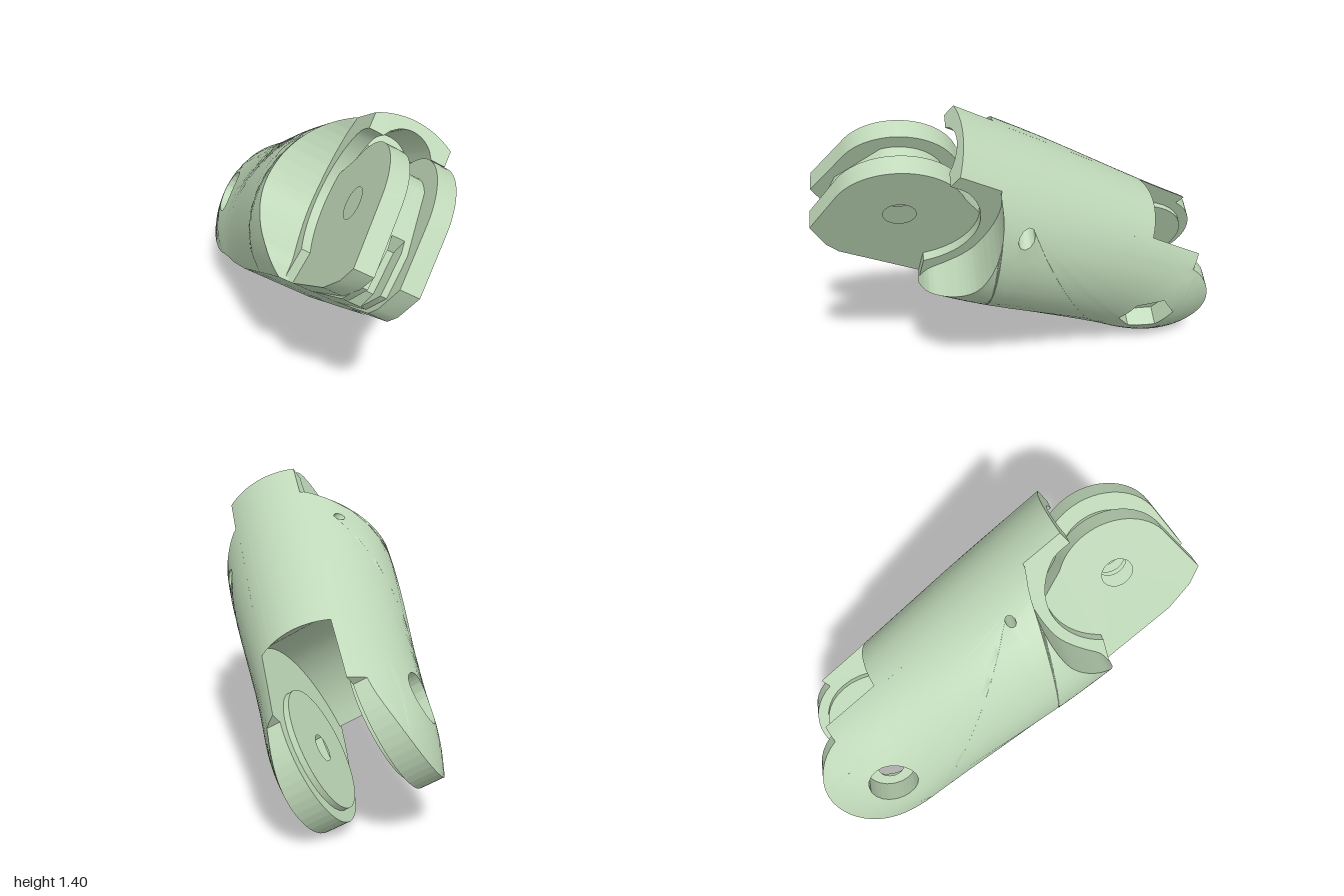
import * as THREE from 'three';
import { toCreasedNormals } from 'three/addons/utils/BufferGeometryUtils.js';

const rad = Math.PI / 180;
const HINGE = 1.39;      // distance between the two hinge axes
const HALF_HEIGHT = 0.425;
const EDGE = 0.365;      // height where the side shells meet the core
const INNER = 0.165;     // inner face of the side shells

// Shapes are drawn as (u = across, d = along the body) and extruded along n, the hinge axis.
const arc = (cu, cd, r, from, to, count = 18) =>
  Array.from({ length: count + 1 }, (_, i) => {
    const t = (from + (to - from) * i / count) * rad;
    return [cu + r * Math.sin(t), cd + r * Math.cos(t)];
  });

const toVecs = (pts) => pts.map(([x, y]) => new THREE.Vector2(x, y));
const spline = (pts, count) =>
  new THREE.SplineCurve(toVecs(pts)).getPoints(count).map((p) => [p.x, p.y]);

function makeShape(pts, holes = []) {
  const shape = new THREE.Shape(toVecs(pts));
  holes.forEach((h) => shape.holes.push(new THREE.Path(toVecs(h))));
  return shape;
}

const ring = (u, d, r, count, turn = 0) => arc(u, d, r, turn, turn + 360, count).slice(0, count);

// Half width of the body along its length: wide at the front, tapering at the rear lugs
function halfWidth(d) {
  const t = THREE.MathUtils.smoothstep(d, 0, 1.0);
  return 0.34 + 0.065 * t - (d < 0 ? 0.06 * (d / 0.32) ** 2 : 0);
}
const sideSurface = (u, d) => halfWidth(d) * Math.sqrt(Math.max(0, 1 - (u / HALF_HEIGHT) ** 2));
const crown = (n, d) => HALF_HEIGHT * Math.sqrt(Math.max(0, 1 - (n / halfWidth(d)) ** 2));

// Split every triangle into four
function subdivide(geometry, levels) {
  let p = Array.from((geometry.index ? geometry.toNonIndexed() : geometry).attributes.position.array);
  for (let l = 0; l < levels; l++) {
    const out = [];
    for (let i = 0; i < p.length; i += 9) {
      const a = p.slice(i, i + 3), b = p.slice(i + 3, i + 6), c = p.slice(i + 6, i + 9);
      const mid = (s, t) => s.map((v, k) => (v + t[k]) / 2);
      const ab = mid(a, b), bc = mid(b, c), ca = mid(c, a);
      out.push(...a, ...ab, ...ca, ...ab, ...b, ...bc, ...ca, ...bc, ...c, ...ab, ...bc, ...ca);
    }
    p = out;
  }
  const g = new THREE.BufferGeometry();
  g.setAttribute('position', new THREE.Float32BufferAttribute(p, 3));
  return g;
}

function bend(geometry, rule) {
  const pos = geometry.attributes.position;
  for (let i = 0; i < pos.count; i++) pos.setXYZ(i, ...rule(pos.getX(i), pos.getY(i), pos.getZ(i)));
  return toCreasedNormals(geometry, 40 * rad);
}

const extrude = (shape, depth, steps = 1) =>
  new THREE.ExtrudeGeometry(shape, { depth, steps, bevelEnabled: false });

export function createModel() {
  const model = new THREE.Group();
  const body = new THREE.Group();
  body.name = 'fingerSegment';
  model.add(body);
  const paleGreen = new THREE.MeshStandardMaterial({ color: 0xbfd8b8 });
  paleGreen.name = 'paleGreen';

  const add = (name, geometry) => {
    const mesh = new THREE.Mesh(geometry, paleGreen);
    mesh.name = name;
    body.add(mesh);
  };
  const plate = (name, shape, n0, n1) => {
    const g = extrude(shape, n1 - n0);
    g.translate(0, 0, n0);
    add(name, toCreasedNormals(g, 32 * rad));
  };

  // Side shells: rear lug, curved flank, and front scoop around the front hinge
  const scoop = [[0.37, 1.14], [0.29, 1.08], [0.16, 1.03], [0, 1.005], [-0.1, 1.015], [-0.2, 1.05], [-0.28, 1.085], [-EDGE, 1.085]];
  const sideOutline = [
    ...spline(scoop, 21),
    [-EDGE, 0.75], [-EDGE, 0.4], [-0.35, 0.2],
    ...arc(0, 0, 0.32, 274, 98, 24),
    [0.37, -0.045], [0.37, 0.25], [0.37, 0.55], [0.37, 0.85],
  ];
  for (const s of [1, -1]) {
    // Hex nut pocket on one side, round bolt-head pocket on the other
    const pocket = s > 0 ? ring(0, 0, 0.14, 6, -33) : ring(0, 0, 0.115, 20);
    const pinHole = ring(0.278, 0.955, s > 0 ? 0.038 : 0.022, 10);
    const g = subdivide(extrude(makeShape(sideOutline, [pocket, pinHole]), 1), 3);
    add(s > 0 ? 'leftSideShell' : 'rightSideShell', bend(g, (u, d, z) => {
      const outer = Math.max(INNER + 0.004, sideSurface(u, d));
      const t = s > 0 ? z : 1 - z;
      const n = INNER + (outer - INNER) * t;
      return [u >= EDGE ? Math.min(crown(n, d), 0.4) : u, d, s * n];
    }));

    // Raised washer inside the rear fork, which also floors the pocket
    const washer = makeShape(ring(0, 0, 0.27, 36), [ring(0, 0, 0.06, 18)]);
    plate('rearWasher', washer, s > 0 ? 0.14 : -0.23, s > 0 ? 0.23 : -0.14);
  }

  // Core between the shells, with the overhanging front lip
  const coreProfile = (lipBack, front) => [
    [-EDGE, 1.08], [-EDGE, 0.4],
    ...arc(0, 0, 0.48, -45, 48, 16),
    [0.4, 0.27], [0.4, 0.5], [0.4, 0.8], [0.4, 1.1], [0.4, 1.34], [0.31, 1.34], [0.31, lipBack],
    ...front,
  ];
  const coreSlice = (name, n0, n1, profile, arched) => {
    const g = extrude(makeShape(profile), n1 - n0, 12);
    g.translate(0, 0, n0);
    add(name, bend(g, (u, d, n) => {
      if (u >= EDGE) return [crown(n, d), d, n];
      // Round tunnel under the lip
      if (arched && u > 0.305 && d > 1) return [0.25 + Math.sqrt(0.13 ** 2 - n ** 2), d, n];
      return [u, d, n];
    }));
  };
  const ledge = coreProfile(1.28, arc(0, HINGE, 0.335, 115, 222, 20));
  coreSlice('coreLeft', 0.115, 0.183, ledge, false);
  coreSlice('coreMiddle', -0.115, 0.115, coreProfile(1.1, arc(0, HINGE, 0.4, 132, 225, 20)), true);
  coreSlice('coreRight', -0.183, -0.115, ledge, false);

  // Front hinge tongue: two outer discs around a recessed middle
  const pivot = () => [ring(0, HINGE, 0.07, 20)];
  const neck = [[0.05, HINGE - 0.5], [-EDGE, HINGE - 0.5], [-EDGE, HINGE - 0.3]];
  const disc = (r, toe) => makeShape([
    [-0.257, HINGE + 0.28], ...arc(0, HINGE, r, 0, 130, 22), ...neck, ...toe,
  ], pivot());
  const middle = (front) => makeShape([
    [-0.13, HINGE + front], [-0.08, HINGE + 0.215],
    ...arc(0, HINGE, 0.2, 40, 130, 14), ...neck, [-0.36, HINGE + 0.06],
    [-0.3, HINGE + front - 0.03],
  ], pivot());
  plate('frontDiscLeft', disc(0.285, [[-0.372, HINGE + 0.09], [-0.345, HINGE + 0.165]]), 0.055, 0.142);
  plate('frontDiscRight', disc(0.265, [[-0.35, HINGE + 0.06], [-0.31, HINGE + 0.2]]), -0.142, -0.055);
  plate('tongueLeft', middle(0.23), 0.028, 0.055);
  plate('tongueRight', middle(0.23), -0.055, -0.028);
  plate('tendonSlotFloor', middle(0.16), -0.028, 0.028);

  // Tilt the segment into its pose
  const along = new THREE.Vector3(-0.05, 0.47, 0.88).normalize();
  const hinge = new THREE.Vector3(0.8, -0.5, 0.32);
  hinge.addScaledVector(along, -hinge.dot(along)).normalize();
  const up = new THREE.Vector3().crossVectors(along, hinge);
  body.applyMatrix4(new THREE.Matrix4().makeBasis(up, along, hinge).setPosition(0.035, 0.393, -0.61));
  return model;
}
